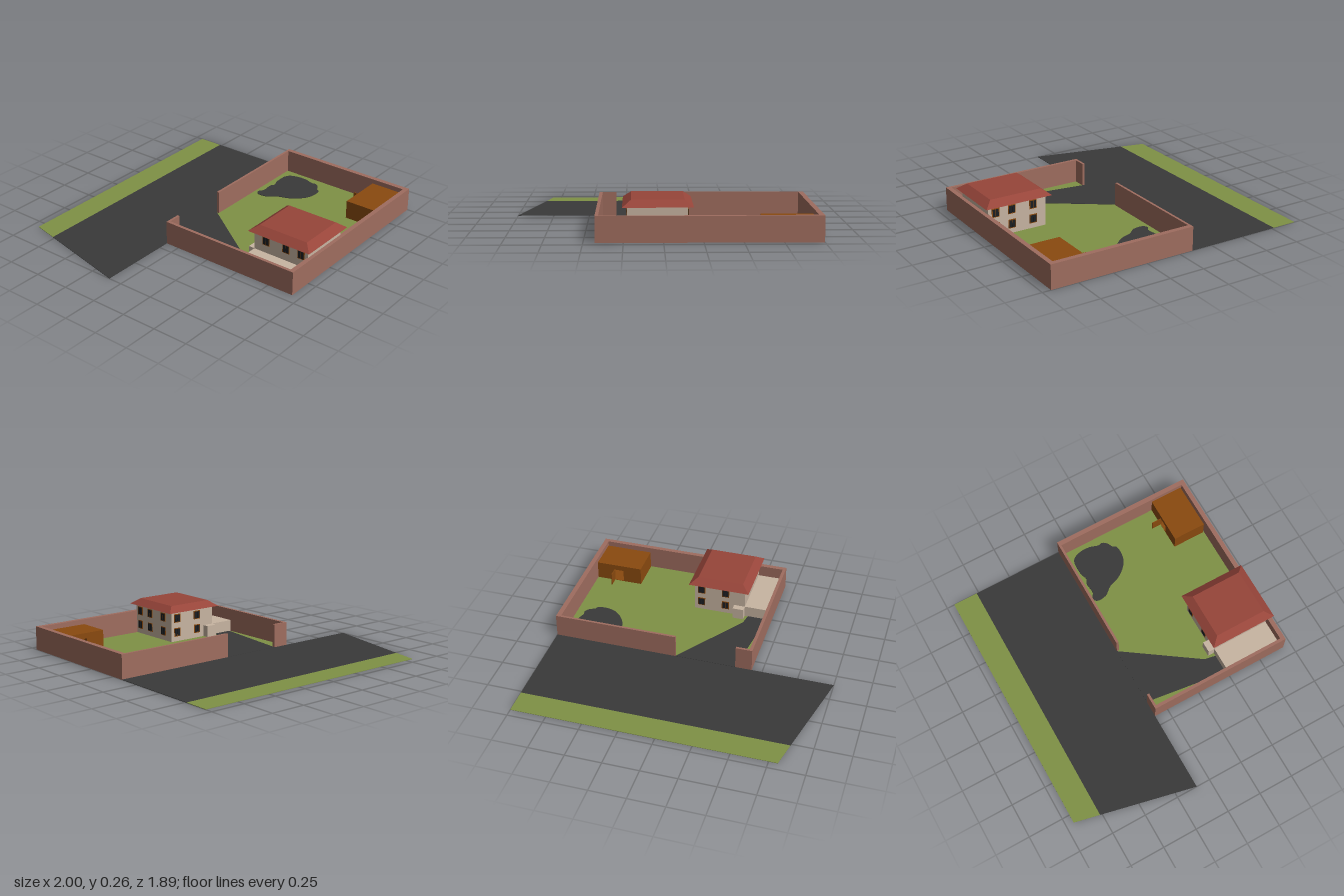
import * as THREE from 'three';

const mat = (name, color) => {
  const m = new THREE.MeshStandardMaterial({ color });
  m.name = name;
  return m;
};

export function createModel() {
  const root = new THREE.Group();
  root.name = 'walledHouse';
  const grass = mat('grass', 0x7f9146);
  const asphalt = mat('asphalt', 0x3a3a3a);
  const brick = mat('brick', 0x9f6d5f);
  const plaster = mat('plaster', 0xc8b5a2);
  const tile = mat('roof tile', 0x97453a);
  const wood = mat('wood', 0x8a4a0f);
  const glass = mat('dark glass', 0x1c1e22);

  const add = (name, geo, material, parent = root) => {
    const m = new THREE.Mesh(geo, material);
    m.name = name;
    parent.add(m);
    return m;
  };
  // Box given by its limits on each axis
  const box = (name, material, [x0, x1], [y0, y1], [z0, z1], parent) => {
    const g = new THREE.BoxGeometry(x1 - x0, y1 - y0, z1 - z0);
    g.translate((x0 + x1) / 2, (y0 + y1) / 2, (z0 + z1) / 2);
    return add(name, g, material, parent);
  };
  // Flat slab from an x,z outline
  const slab = (name, material, pts, y0, y1) => {
    const s = new THREE.Shape(pts.map(([x, z]) => new THREE.Vector2(x, -z)));
    const g = new THREE.ExtrudeGeometry(s, { depth: y1 - y0, bevelEnabled: false });
    g.rotateX(-Math.PI / 2).translate(0, y0, 0);
    return add(name, g, material);
  };

  // Ground
  slab('verge', grass, [[-0.81, -0.945], [1, -0.945], [1, -0.765], [-0.85, -0.765]], 0, 0.003);
  slab('road', asphalt, [[-0.85, -0.765], [1, -0.765], [1, -0.1], [-1, -0.1]], 0, 0.003);
  slab('lawn', grass, [[-0.42, -0.1], [0.99, -0.1], [0.99, 0.93], [-0.42, 0.93]], 0.001, 0.003);
  slab('driveway', asphalt,
    [[-0.31, -0.1], [0.12, -0.1], [-0.235, 0.41], [-0.25, 0.49], [-0.39, 0.49]], 0, 0.005);

  // Pond with an irregular outline
  const bank = [[0.527, -0.04], [0.56, -0.057], [0.596, -0.035], [0.68, -0.04], [0.714, -0.024],
    [0.767, -0.04], [0.885, -0.033], [0.92, 0.024], [0.925, 0.11], [0.905, 0.18], [0.91, 0.21],
    [0.885, 0.245], [0.847, 0.265], [0.83, 0.29], [0.735, 0.29], [0.67, 0.255], [0.61, 0.18],
    [0.58, 0.1], [0.53, 0.035]];
  const curve = new THREE.CatmullRomCurve3(bank.map(([x, z]) => new THREE.Vector3(x, 0, z)), true);
  slab('pond', asphalt, curve.getPoints(76).slice(0, -1).map(p => [p.x, p.z]), 0, 0.007);

  // Boundary walls, with a gate opening at the back
  const wallY = [0, 0.168];
  box('frontWall', brick, [-0.427, 1], wallY, [0.908, 0.94]);
  box('leftWall', brick, [0.966, 1], wallY, [-0.1, 0.908]);
  box('rightWall', brick, [-0.427, -0.405], wallY, [-0.1, 0.908]);
  box('backWallLong', brick, [0.12, 0.966], wallY, [-0.1, -0.083]);
  box('backWallShort', brick, [-0.405, -0.31], wallY, [-0.1, -0.083]);

  // House
  const house = new THREE.Group();
  house.name = 'house';
  root.add(house);
  box('houseBody', plaster, [-0.225, 0.152], [0, 0.222], [0.49, 0.914], house);
  box('terrace', plaster, [-0.405, -0.225], [0, 0.085], [0.49, 0.908], house);
  box('porch', plaster, [-0.225, -0.145], [0, 0.085], [0.445, 0.49], house);

  // Hipped roof with a flat top: a box whose top corners are drawn inwards
  const roofGeo = new THREE.BoxGeometry(0.444, 0.042, 0.485).toNonIndexed();
  const p = roofGeo.attributes.position;
  for (let i = 0; i < p.count; i++) {
    if (p.getY(i) > 0) {
      p.setX(i, p.getX(i) - Math.sign(p.getX(i)) * 0.055);
      p.setZ(i, p.getZ(i) - Math.sign(p.getZ(i)) * 0.056);
    }
  }
  roofGeo.computeVertexNormals();
  add('roof', roofGeo, tile, house).position.set(-0.035, 0.241, 0.7);

  // Windows: wooden frame plate with two dark panes, facing local +z
  const addWindow = (x, y, z, turn, w = 0.054) => {
    const win = new THREE.Group();
    win.name = 'window';
    box('windowFrame', wood, [-w / 2, w / 2], [-0.031, 0.031], [0, 0.004], win);
    for (const s of [-1, 1]) {
      const pane = new THREE.BoxGeometry(w * 0.36, 0.05, 0.003);
      add('pane', pane.translate(s * w * 0.21, 0, 0.0045), glass, win);
    }
    win.position.set(x, y, z);
    win.rotation.y = turn;
    house.add(win);
  };
  for (const y of [0.07, 0.173]) {
    for (const z of [0.585, 0.743, 0.862]) {
      addWindow(0.152, y, z, Math.PI / 2);
      if (y > 0.1) addWindow(-0.225, y, z, -Math.PI / 2);
    }
    for (const x of [0.1, -0.08]) addWindow(x, y, 0.49, Math.PI);
  }

  // Hollow garden shed with an open door
  const shed = new THREE.Group();
  shed.name = 'shed';
  root.add(shed);
  const sx = [0.625, 0.965], sy = [0, 0.125];
  box('shedFloor', wood, sx, [0, 0.006], [0.66, 0.9], shed);
  box('shedRoof', wood, sx, [0.125, 0.135], [0.66, 0.9], shed);
  box('shedFront', wood, sx, sy, [0.89, 0.9], shed);
  box('shedSideRight', wood, [0.625, 0.635], sy, [0.66, 0.89], shed);
  box('shedSideLeft', wood, [0.955, 0.965], sy, [0.66, 0.89], shed);
  box('shedBackRight', wood, [0.635, 0.762], sy, [0.66, 0.67], shed);
  box('shedBackLeft', wood, [0.832, 0.955], sy, [0.66, 0.67], shed);
  box('shedLintel', wood, [0.762, 0.832], [0.095, 0.125], [0.66, 0.67], shed);
  box('shedDoor', wood, [0.83, 0.835], [0.005, 0.095], [0.59, 0.66], shed);
  const knob = new THREE.SphereGeometry(0.005, 10, 8);
  add('doorKnob', knob, wood, shed).position.set(0.838, 0.05, 0.603);

  return root;
}
